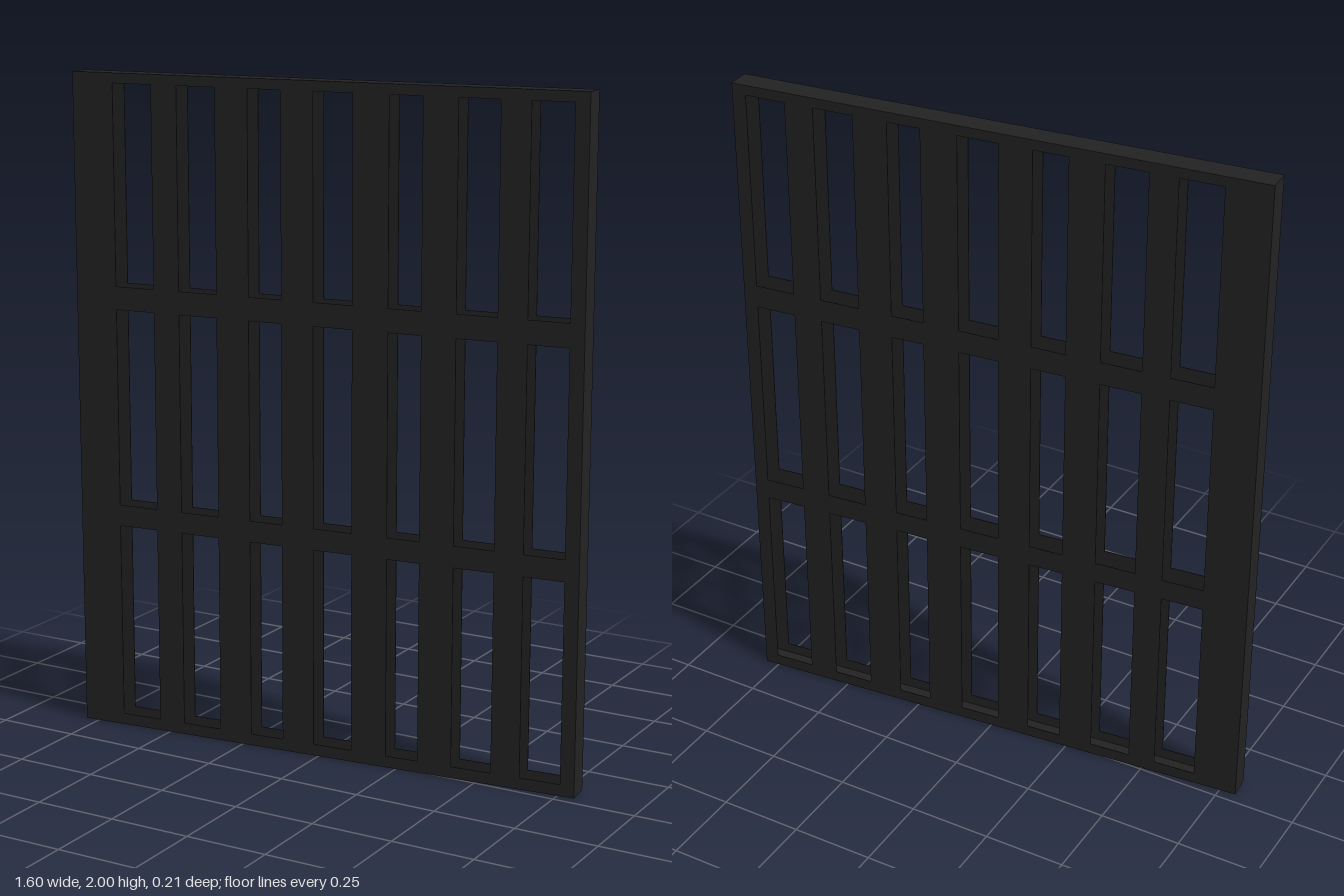
import * as THREE from 'three';

export function createModel() {
  const black = new THREE.MeshStandardMaterial({ color: 0x222222 });
  black.name = 'black';

  const W = 1.6, H = 2, D = 0.072, T = 0.002;
  const columns = [[-0.666, -0.539], [-0.455, -0.331], [-0.226, -0.121], [-0.019, 0.103],
    [0.215, 0.316], [0.422, 0.545], [0.634, 0.757]];
  const rows = [[0.035, 0.635], [0.7, 1.3], [1.37, 1.97]];

  const model = new THREE.Group();
  model.name = 'slattedPanel';
  const panel = new THREE.Group();
  panel.name = 'panel';
  panel.rotation.y = THREE.MathUtils.degToRad(5);
  model.add(panel);

  const add = (name, geometry, x, y, z, ry = 0) => {
    const mesh = new THREE.Mesh(geometry, black);
    mesh.name = name;
    mesh.position.set(x, y, z);
    mesh.rotation.y = ry;
    panel.add(mesh);
  };

  // Rectangular outline, usable as sheet or as opening
  const rect = (path, x0, y0, x1, y1) =>
    path.moveTo(x0, y0).lineTo(x1, y0).lineTo(x1, y1).lineTo(x0, y1).closePath();

  // Hollow panel: front and back sheets with matching openings
  const sheet = rect(new THREE.Shape(), -W / 2, 0, W / 2, H);
  for (const [x0, x1] of columns) {
    for (const [y0, y1] of rows) sheet.holes.push(rect(new THREE.Path(), x0, y0, x1, y1));
  }
  const sheetGeometry = new THREE.ExtrudeGeometry(sheet, { depth: T, bevelEnabled: false });
  add('frontSheet', sheetGeometry, 0, 0, D / 2 - T);
  add('backSheet', sheetGeometry, 0, 0, -D / 2);

  // Top and bottom edges
  const edge = new THREE.BoxGeometry(W, T, D - 2 * T);
  add('topEdge', edge, 0, H - T / 2, 0);
  add('bottomEdge', edge, 0, T / 2, 0);

  // End faces, looking outward
  const end = new THREE.PlaneGeometry(D, H);
  add('leftEnd', end, W / 2, H / 2, 0, Math.PI / 2);
  add('rightEnd', end, -W / 2, H / 2, 0, -Math.PI / 2);

  return model;
}
